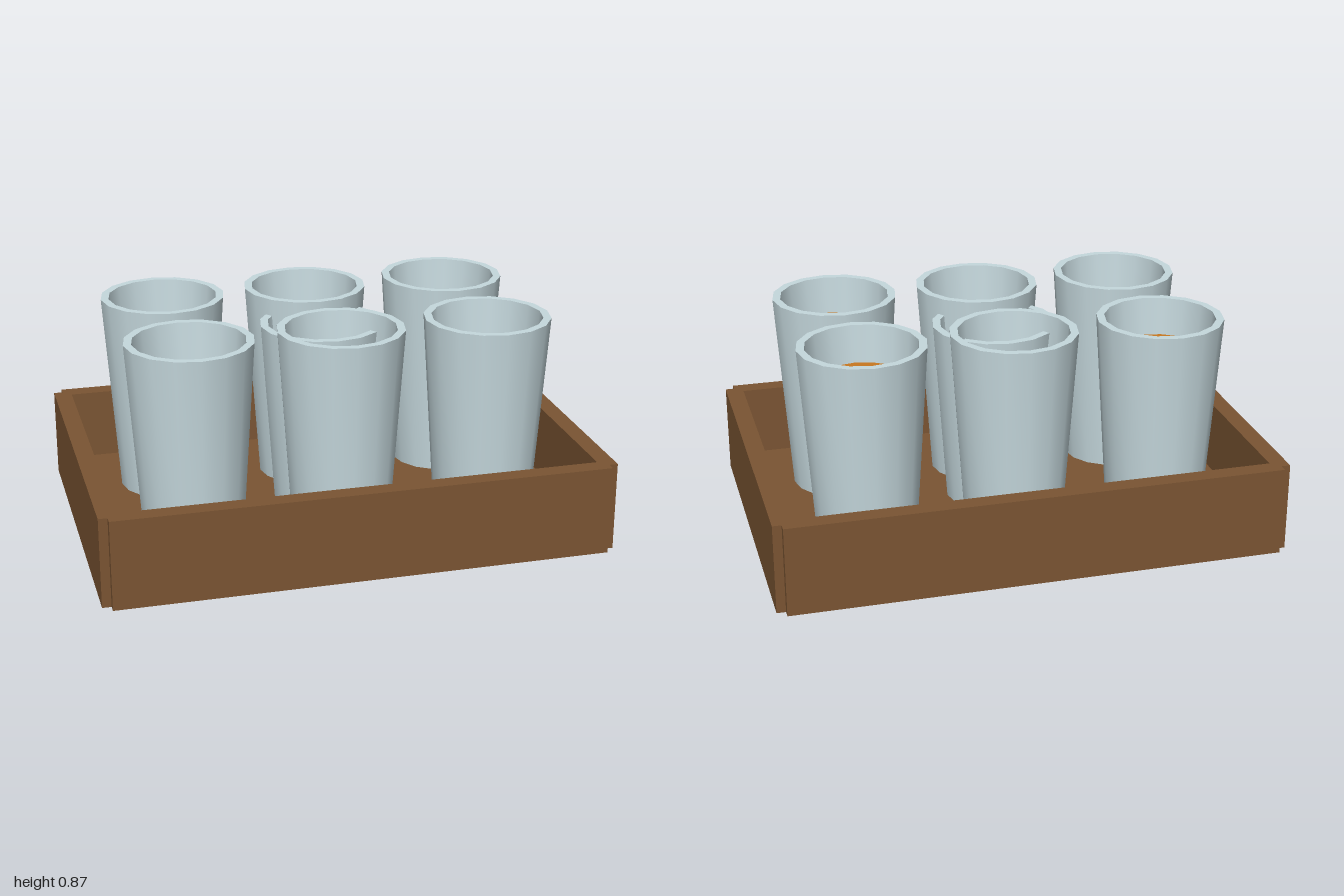
import * as THREE from 'three';
import { toCreasedNormals } from 'three/addons/utils/BufferGeometryUtils.js';

export function createModel() {
  const model = new THREE.Group();
  model.name = 'trayOfGlasses';

  const wood = new THREE.MeshStandardMaterial({ color: 0x7b5533 });
  wood.name = 'brown wood';
  const glass = new THREE.MeshStandardMaterial({ color: 0xc6d9de });
  glass.name = 'pale blue glass';
  const drink = new THREE.MeshStandardMaterial({ color: 0xc97820 });
  drink.name = 'amber drink';

  // Tray: floor and four walls that leave a small notch at each corner
  const tray = new THREE.Group();
  tray.name = 'tray';
  const board = (name, w, h, d, x, y, z) => {
    const mesh = new THREE.Mesh(new THREE.BoxGeometry(w, h, d), wood);
    mesh.name = name;
    mesh.position.set(x, y, z);
    tray.add(mesh);
  };
  const wallHeight = 0.355, floorHeight = 0.07;
  board('trayFloor', 1.9, floorHeight, 1.28, 0, floorHeight / 2, 0);
  for (const s of [1, -1]) {
    board(s > 0 ? 'frontWall' : 'backWall', 1.93, wallHeight, 0.07, 0, wallHeight / 2, s * 0.658);
    board(s > 0 ? 'leftWall' : 'rightWall', 0.07, wallHeight, 1.32, s * 0.965, wallHeight / 2, 0);
  }
  model.add(tray);

  // Tapered glass: outside, rim and inside in one lathe profile
  const profile = [
    [0, 0], [0.193, 0], [0.247, 0.8], [0.216, 0.8], [0.165, 0.05], [0, 0.05],
  ].map(([r, y]) => new THREE.Vector2(r, y));
  const glassGeometry = toCreasedNormals(new THREE.LatheGeometry(profile, 16), 0.6);

  // Drink filling the glass below its rim
  const drinkGeometry = new THREE.CylinderGeometry(0.178, 0.16, 0.61, 16);

  const addGlass = (name, x, y, z) => {
    const group = new THREE.Group();
    group.name = name;
    const cup = new THREE.Mesh(glassGeometry, glass);
    cup.name = 'glassCup';
    const liquid = new THREE.Mesh(drinkGeometry, drink);
    liquid.name = 'drink';
    liquid.position.y = 0.355;
    group.add(cup, liquid);
    group.position.set(x, y, z);
    model.add(group);
  };

  // Two rows of three, and one lower glass in the middle
  for (const z of [0.287, -0.287]) {
    for (const x of [-0.585, 0, 0.585]) {
      const row = z > 0 ? 'front' : 'back';
      const column = x > 0 ? 'Left' : x < 0 ? 'Right' : 'Middle';
      addGlass(row + column + 'Glass', x, floorHeight, z);
    }
  }
  addGlass('centreGlass', 0, 0.001, 0);

  return model;
}
